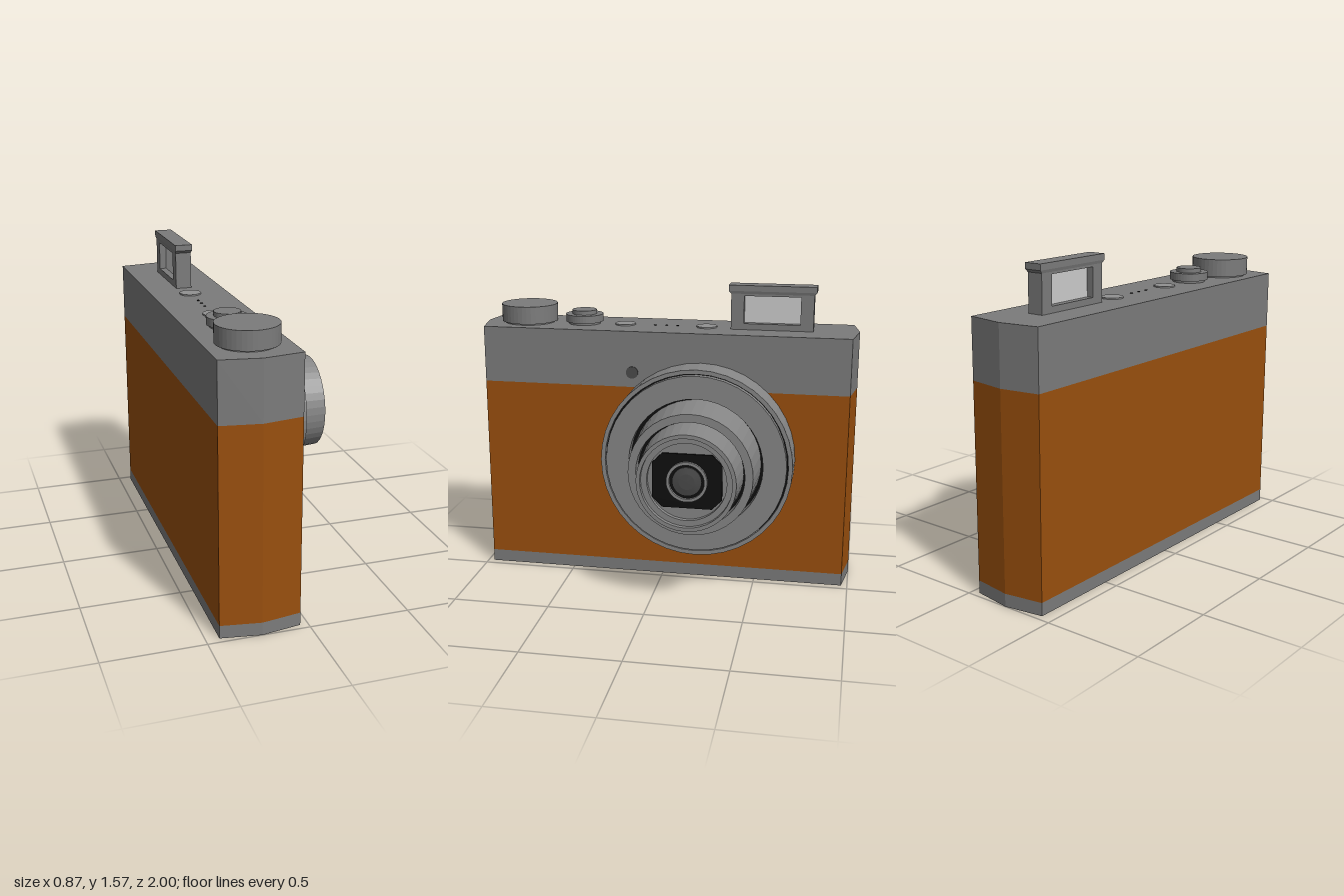
import * as THREE from 'three';

const BODY_X = -0.237, TOP = 1.338;
const LENS_Y = 0.685, LENS_Z = -0.2;

const mat = (color) => new THREE.MeshStandardMaterial({ color, flatShading: true });
const grey = mat(0x7b7b7b);
const lensGrey = mat(0x868686);
const buttonGrey = mat(0x929292);
const orange = mat(0x994f0d);
const black = mat(0x0e0e0e);
const dark = mat(0x4a4a4a);
const pale = mat(0xbebebe);

export function createModel() {
  const model = new THREE.Group();
  model.name = 'camera';

  const add = (parent, name, geometry, material, x = 0, y = 0, z = 0) => {
    const mesh = new THREE.Mesh(geometry, material);
    mesh.name = name;
    mesh.position.set(x, y, z);
    parent.add(mesh);
    return mesh;
  };

  // Body: stacked slabs of one six-sided outline with shallow pointed ends
  const outline = new THREE.Shape([
    [-0.198, -0.968], [0, -1], [0.198, -0.968],
    [0.198, 0.968], [0, 1], [-0.198, 0.968],
  ].map(([x, y]) => new THREE.Vector2(x, y)));
  const slab = (name, y0, y1, material) => {
    const g = new THREE.ExtrudeGeometry(outline, { depth: y1 - y0, bevelEnabled: false });
    g.rotateX(-Math.PI / 2);
    add(model, name, g, material, BODY_X, y0, 0);
  };
  slab('basePlate', 0, 0.065, grey);
  slab('grip', 0.065, 1.042, orange);
  slab('topHousing', 1.042, TOP, grey);

  // Lens: its local y axis points out of the front of the body
  const lens = new THREE.Group();
  lens.name = 'lens';
  lens.position.set(0, LENS_Y, LENS_Z);
  lens.rotation.z = -Math.PI / 2;
  model.add(lens);
  const turned = (name, profile, material = lensGrey) =>
    add(lens, name, new THREE.LatheGeometry(
      profile.map(([r, h]) => new THREE.Vector2(r, h)), 40), material);

  turned('mountRing', [
    [0.5, -0.05], [0.5, 0.12], [0.478, 0.12], [0.478, 0.09],
  ]);
  turned('ringGroove', [[0.485, 0.095], [0.465, 0.095]], black);
  turned('facePlate', [
    [0.47, 0.09], [0.47, 0.13], [0.35, 0.13], [0.35, 0.05],
  ]);
  turned('outerGroove', [[0.352, 0.07], [0.325, 0.07]], black);
  turned('outerBarrel', [
    [0.335, 0.05], [0.318, 0.305], [0.277, 0.305], [0.277, 0.22],
  ]);
  turned('innerGroove', [[0.279, 0.24], [0.255, 0.24]], black);
  turned('innerBarrel', [
    [0.265, 0.22], [0.25, 0.435], [0.23, 0.435], [0.23, 0.41],
    [0.2, 0.41], [0.2, 0.385], [0, 0.385],
  ]);

  // Black cut-corner mask and the front glass
  const w = 0.175, h = 0.14, c = 0.05;
  const mask = new THREE.Shape([
    [-w, -h + c], [-w + c, -h], [w - c, -h], [w, -h + c],
    [w, h - c], [w - c, h], [-w + c, h], [-w, h - c],
  ].map(([x, y]) => new THREE.Vector2(x, y)));
  const maskGeometry = new THREE.ExtrudeGeometry(mask, { depth: 0.01, bevelEnabled: false });
  maskGeometry.rotateY(Math.PI / 2);
  add(model, 'lensMask', maskGeometry, black, 0.385, LENS_Y, LENS_Z);
  turned('glassRing', [[0.103, 0.39], [0.103, 0.41], [0.088, 0.41], [0.088, 0.395]]);
  turned('frontGlass', [[0.074, 0.39], [0.074, 0.402], [0.04, 0.407], [0, 0.408]], dark);

  // Round controls along the top
  const disc = (name, r, y0, y1, z, material = grey) =>
    add(model, name, new THREE.CylinderGeometry(r, r, y1 - y0, 40), material,
      BODY_X, (y0 + y1) / 2, z);
  disc('dialShaft', 0.135, TOP - 0.01, 1.35, 0.77);
  disc('dial', 0.15, 1.346, 1.438, 0.77);
  disc('shutterShaft', 0.085, TOP - 0.01, 1.355, 0.465);
  disc('shutterCollar', 0.1, 1.35, 1.39, 0.465);
  disc('shutterButton', 0.065, 1.385, 1.412, 0.465);
  disc('rearButton', 0.055, TOP - 0.01, 1.345, 0.24, buttonGrey);
  disc('powerButton', 0.055, TOP - 0.01, 1.345, -0.2, buttonGrey);
  for (const z of [0.078, 0.017, -0.043]) disc('microphoneHole', 0.007, TOP - 0.01, 1.341, z, black);

  // Small sensor window on the front
  const sensor = add(model, 'sensorWindow',
    new THREE.CylinderGeometry(0.032, 0.032, 0.02, 24), dark, -0.044, 1.12, 0.165);
  sensor.rotation.z = Math.PI / 2;

  // Pop-up viewfinder: pierced frame, pane and overhanging cap
  const finder = new THREE.Group();
  finder.name = 'viewfinder';
  finder.position.set(BODY_X, TOP, -0.547);
  model.add(finder);
  const rect = (Type, x0, y0, x1, y1) => new Type([
    new THREE.Vector2(x0, y0), new THREE.Vector2(x1, y0),
    new THREE.Vector2(x1, y1), new THREE.Vector2(x0, y1),
  ]);
  const frame = rect(THREE.Shape, -0.215, 0, 0.215, 0.2);
  frame.holes.push(rect(THREE.Path, -0.147, 0.032, 0.147, 0.177));
  const frameGeometry = new THREE.ExtrudeGeometry(frame, { depth: 0.082, bevelEnabled: false });
  frameGeometry.translate(0, 0, -0.041).rotateY(Math.PI / 2);
  add(finder, 'finderFrame', frameGeometry, grey);
  add(finder, 'finderPane', new THREE.BoxGeometry(0.012, 0.147, 0.296), pale, 0, 0.104, 0);

  // Cap sides taper inwards where they meet the frame
  const cap = new THREE.BoxGeometry(0.09, 0.044, 0.456, 1, 2, 1);
  const p = cap.attributes.position;
  for (let i = 0; i < p.count; i++) {
    if (p.getY(i) < -0.01) {
      p.setX(i, p.getX(i) * 0.92);
      p.setZ(i, p.getZ(i) * 0.945);
    } else if (p.getY(i) < 0.01) p.setY(i, -0.008);
  }
  cap.computeVertexNormals();
  add(finder, 'finderCap', cap, grey, 0, 0.21, 0);

  return model;
}
